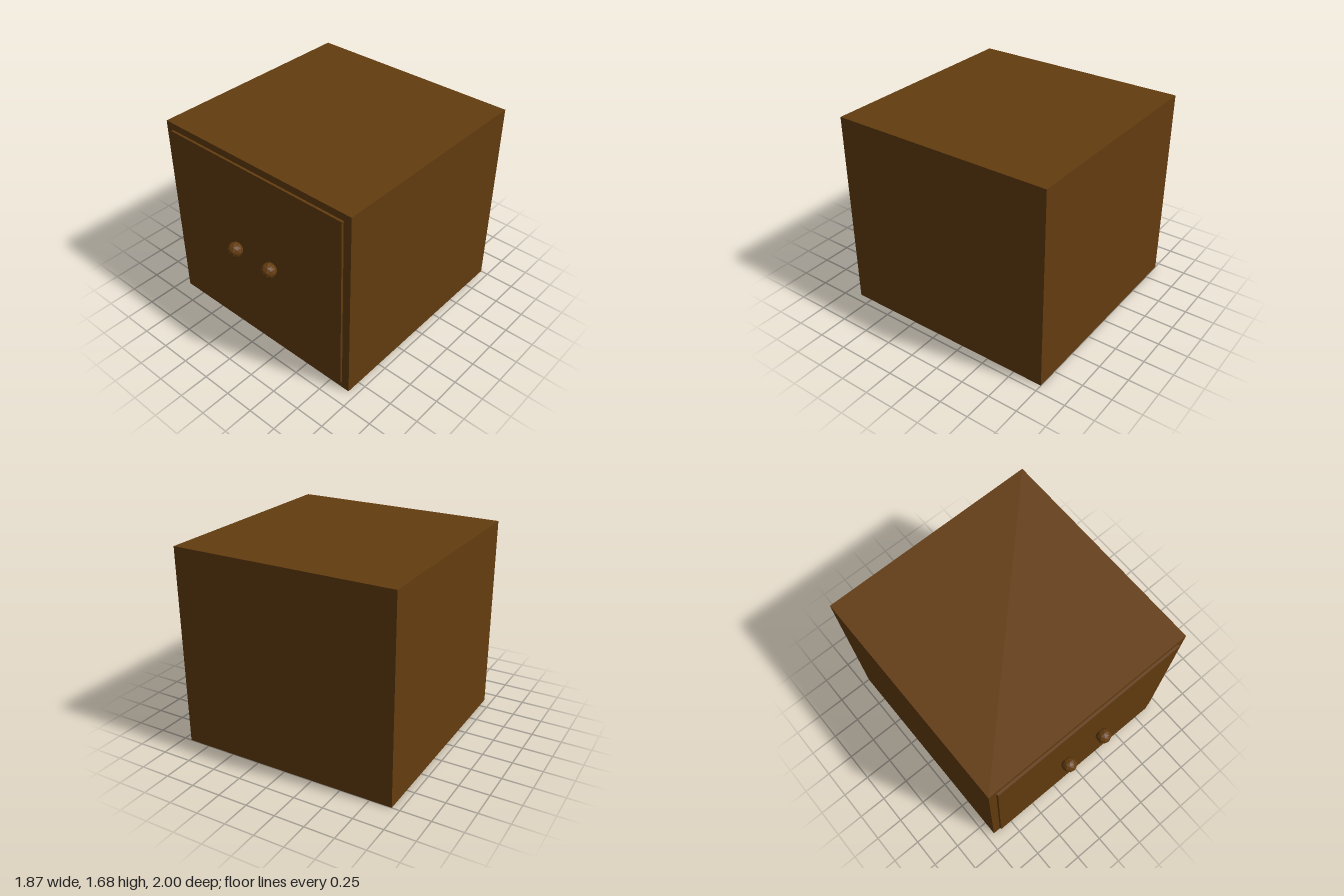
import * as THREE from 'three';

export function createModel() {
  const group = new THREE.Group();
  const wood = new THREE.MeshStandardMaterial({ color: 0x633c0f, flatShading: true });
  wood.name = 'brown wood';

  const add = (name, geometry, x, y, z) => {
    const mesh = new THREE.Mesh(geometry, wood);
    mesh.name = name;
    mesh.position.set(x, y, z);
    group.add(mesh);
  };

  // Cabinet body, with its back at z = -1
  add('cabinetBody', new THREE.BoxGeometry(1.87, 1.685, 1.87), 0, 0.8425, -0.065);

  // Raised front panel, sunk a little into the body
  add('frontPanel', new THREE.BoxGeometry(1.736, 1.566, 0.04), 0, 0.8425, 0.87);

  // Pair of faceted round knobs
  for (const [name, side] of [['leftKnob', 1], ['rightKnob', -1]]) {
    add(name, new THREE.IcosahedronGeometry(0.065, 1), side * 0.185, 0.8425, 0.935);
  }

  return group;
}
